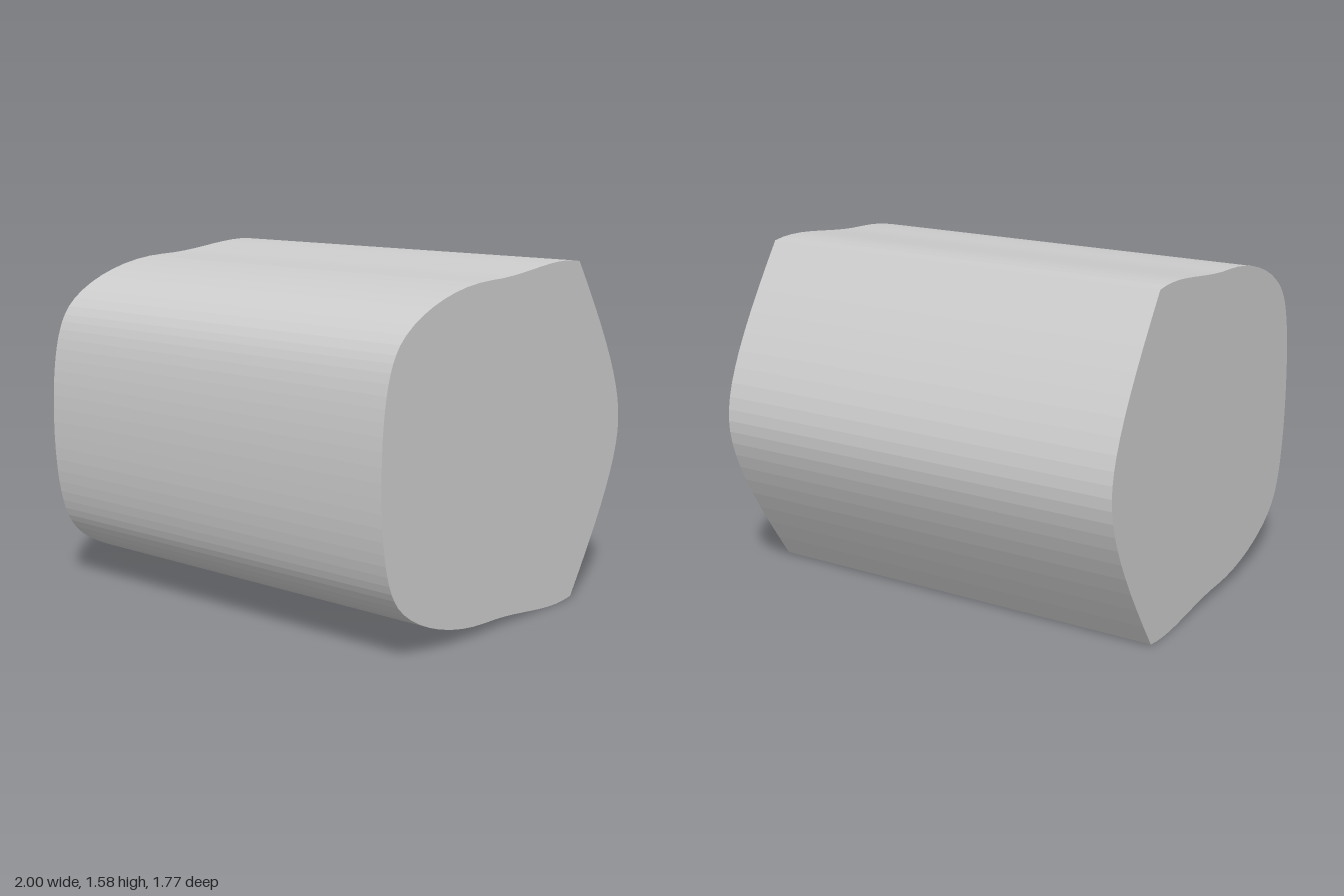
import * as THREE from 'three';

const MID = 0.786; // height of the profile's mirror line

// Upper half of the side profile, front to back: chained cubic Bezier points [z, y]
const HALF = [
  [0.885, MID], [0.885, 1.0], [0.86, 1.19],
  [0.8, 1.285], [0.73, 1.41], [0.46, 1.525],
  [0.17, 1.53], [-0.1, 1.53], [-0.3, 1.6],
  [-0.505, 1.565], [-0.76, 1.19], [-0.884, 0.96],
  [-0.884, MID],
];

function addCurves(shape, points) {
  for (let i = 1; i < points.length; i += 3) {
    const [a, b, c] = points.slice(i, i + 3);
    shape.bezierCurveTo(-a[0], a[1], -b[0], b[1], -c[0], c[1]);
  }
}

export function createModel() {
  const group = new THREE.Group();

  // Closed profile: upper half, then its mirror image back to the front
  const shape = new THREE.Shape();
  shape.moveTo(-HALF[0][0], HALF[0][1]);
  addCurves(shape, HALF);
  addCurves(shape, HALF.map(([z, y]) => [z, 2 * MID - y]).reverse());

  // Solid prism running from side to side
  const geometry = new THREE.ExtrudeGeometry(shape, { depth: 2, bevelEnabled: false, curveSegments: 10 });
  geometry.translate(0, 0, -1);
  geometry.rotateY(Math.PI / 2);

  const body = new THREE.Mesh(geometry, new THREE.MeshStandardMaterial({ color: 0xcccccc }));
  body.name = 'profiledBody';
  group.add(body);
  return group;
}
